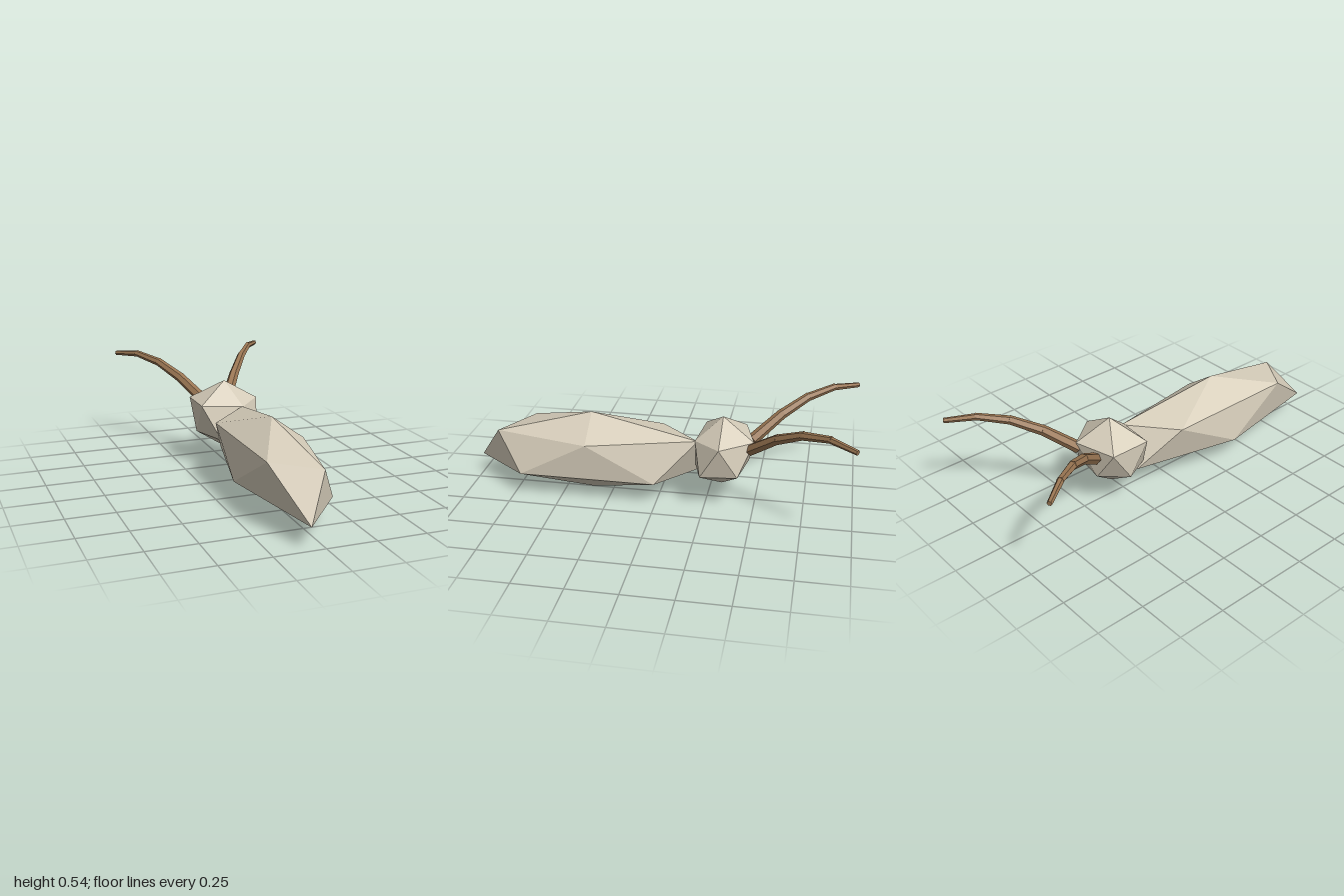
import * as THREE from 'three';

const bone = new THREE.MeshStandardMaterial({ color: 0xd6cdba, flatShading: true });
bone.name = 'paleHide';
const horn = new THREE.MeshStandardMaterial({ color: 0x9a7653, flatShading: true });
horn.name = 'hornBrown';

// Irregular twenty-sided rock shape: two poles and two staggered rings of five
function facetedBlob(name, top, upper, lower, bottom) {
  const tris = [];
  for (let i = 0; i < 5; i++) {
    const j = (i + 1) % 5;
    tris.push(top, upper[j], upper[i]);
    tris.push(upper[i], upper[j], lower[i]);
    tris.push(upper[j], lower[j], lower[i]);
    tris.push(bottom, lower[i], lower[j]);
  }
  const geometry = new THREE.BufferGeometry();
  geometry.setAttribute('position', new THREE.Float32BufferAttribute(tris.flat(), 3));
  geometry.computeVertexNormals();
  const mesh = new THREE.Mesh(geometry, bone);
  mesh.name = name;
  return mesh;
}

// Curved horn made of separate tapering six-sided segments
function makeHorn(name, side) {
  const group = new THREE.Group();
  group.name = name;
  const points = [
    [0.065, 0.31, -0.47], [0.16, 0.42, -0.605], [0.248, 0.49, -0.73],
    [0.338, 0.521, -0.86], [0.432, 0.508, -0.99],
  ].map(([x, y, z]) => new THREE.Vector3(side * x, y, z));
  const radius = (i) => 0.031 - i * 0.0045;
  for (let i = 0; i < 4; i++) {
    const direction = points[i + 1].clone().sub(points[i]);
    const length = direction.length() + (i < 3 ? 0.012 : 0);
    direction.normalize();
    const segment = new THREE.Mesh(
      new THREE.CylinderGeometry(radius(i + 1), radius(i), length, 6), horn);
    segment.name = 'hornSegment';
    segment.position.copy(points[i]).addScaledVector(direction, length / 2);
    segment.quaternion.setFromUnitVectors(new THREE.Vector3(0, 1, 0), direction);
    group.add(segment);
  }
  return group;
}

export function createModel() {
  const model = new THREE.Group();
  model.name = 'hornedCreature';

  // Long faceted body
  model.add(facetedBlob('body',
    [0, 0.43, 0.36],
    [[0.168, 0.308, 0.36], [0.055, 0.31, 0.855], [-0.165, 0.325, 0.71],
      [-0.165, 0.32, 0.01], [0.06, 0.333, -0.205]],
    [[0.165, 0.12, 0.71], [-0.07, 0.107, 0.995], [-0.196, 0.123, 0.36],
      [-0.065, 0.125, -0.205], [0.165, 0.12, 0.005]],
    [0, 0, 0.36]));

  // Small faceted head
  model.add(facetedBlob('head',
    [0, 0.455, -0.325],
    [[0.185, 0.345, -0.325], [0.06, 0.335, -0.19], [-0.163, 0.35, -0.22],
      [-0.163, 0.35, -0.432], [0.06, 0.348, -0.49]],
    [[0.155, 0.178, -0.228], [-0.07, 0.165, -0.17], [-0.16, 0.185, -0.325],
      [-0.06, 0.195, -0.457], [0.145, 0.185, -0.418]],
    [0, 0.083, -0.325]));

  model.add(makeHorn('leftHorn', 1), makeHorn('rightHorn', -1));
  return model;
}
